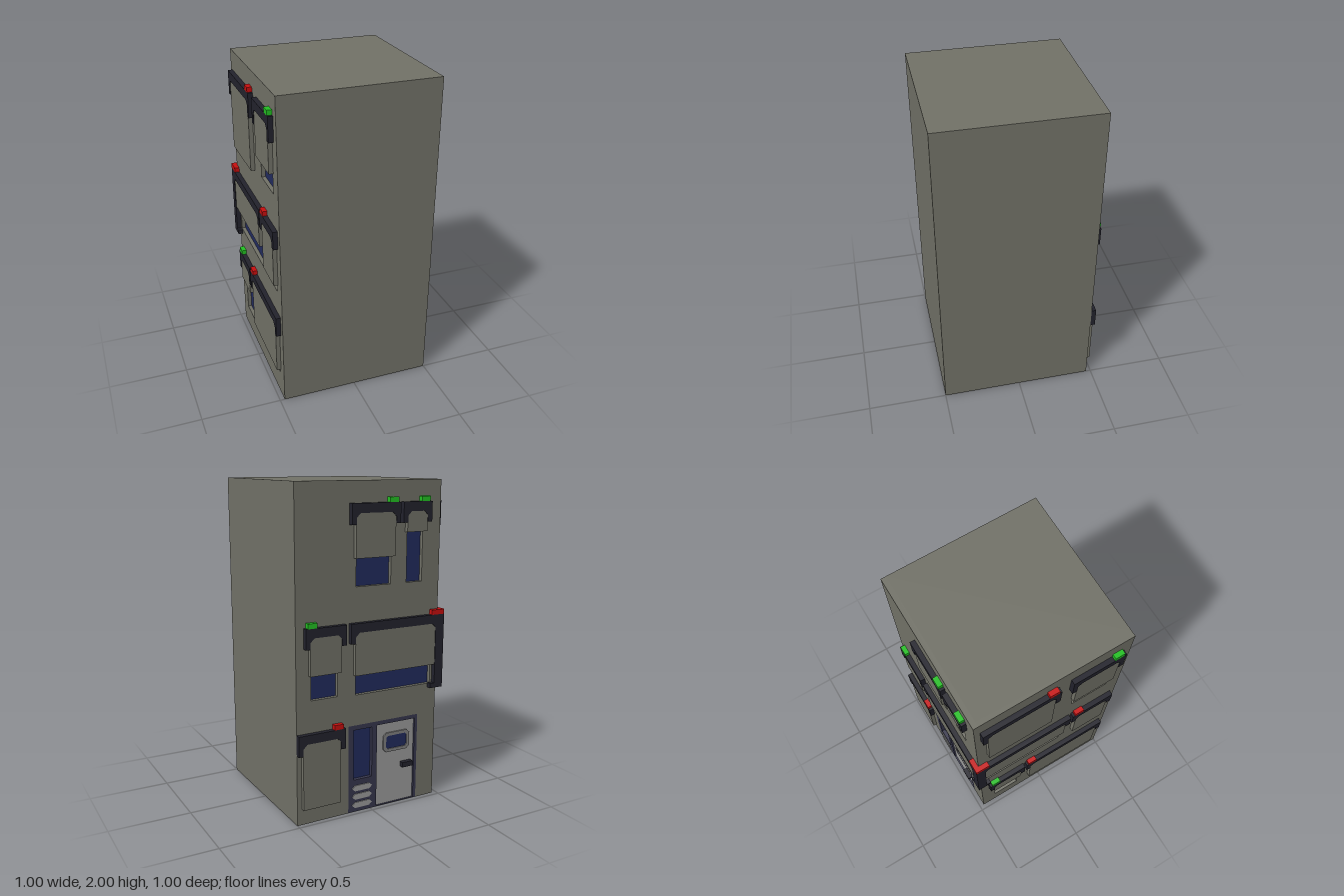
import * as THREE from 'three';

const mat = (name, color) => {
  const m = new THREE.MeshStandardMaterial({ color });
  m.name = name;
  return m;
};

export function createModel() {
  const wall = mat('wall grey', 0x717167);
  const dark = mat('housing black', 0x22222c);
  const glass = mat('glass blue', 0x212b5e);
  const frame = mat('door frame slate', 0x37374e);
  const door = mat('door grey', 0x9c9c9c);
  const trim = mat('trim grey', 0x808080);
  const red = mat('lamp red', 0xc80f0f);
  const green = mat('lamp green', 0x22c022);

  const model = new THREE.Group();
  model.name = 'building';
  const D = 0.03; // depth of recesses and of projecting parts

  const add = (parent, name, geo, material, x = 0, y = 0, z = 0) => {
    const m = new THREE.Mesh(geo, material);
    m.name = name;
    m.position.set(x, y, z);
    parent.add(m);
    return m;
  };
  // Box given by its extents
  const box = (parent, name, material, [x0, x1], [y0, y1], [z0, z1]) =>
    add(parent, name, new THREE.BoxGeometry(x1 - x0, y1 - y0, z1 - z0), material,
      (x0 + x1) / 2, (y0 + y1) / 2, (z0 + z1) / 2);
  const poly = (pts, Type = THREE.Shape) => new Type(pts.map(p => new THREE.Vector2(...p)));
  const rect = ([a, b], [c, d], Type) => poly([[a, c], [b, c], [b, d], [a, d]], Type);
  const extrude = (shape, depth) => new THREE.ExtrudeGeometry(shape, { depth, bevelEnabled: false });
  // Rectangle with cut corners
  const cut = ([a, b], [c, d], k, Type) => poly([[a + k, c], [b - k, c], [b, c + k], [b, d - k],
    [b - k, d], [a + k, d], [a, d - k], [a, c + k]], Type);

  // Solid core
  box(model, 'core', wall, [-0.44, 0.5], [0, 2], [-0.44, 0.5]);

  // Decorated faces: local z points outward, local z = 0 is the wall surface
  const makeFace = (name, sign, rotation, x, z) => {
    const group = new THREE.Group();
    group.name = name;
    group.rotation.y = rotation;
    group.position.set(x, 0, z);
    model.add(group);
    return { group, holes: [], span: ([a, b]) => (sign > 0 ? [a, b] : [-b, -a]) };
  };
  const back = makeFace('backFace', -1, Math.PI, 0, -0.47);
  const side = makeFace('sideFace', 1, -Math.PI / 2, -0.47, 0);

  // One shuttered window: housing, shutter, recessed glass and lamp
  const bay = (face, range, top, leg, shutterEnd, sill, lampStart, lampMat) => {
    const [a, b] = face.span(range);
    const g = new THREE.Group();
    g.name = 'windowBay';
    face.group.add(g);
    const t = 0.03, low = top - leg, inner = top - 0.055, k = 0.025;
    add(g, 'shutterHousing', extrude(poly([
      [a, low], [a + t, low], [a + t, inner - k], [a + t + k, inner],
      [b - t - k, inner], [b - t, inner - k], [b - t, low], [b, low], [b, top], [a, top],
    ]), D), dark);
    box(g, 'shutter', wall, [a + t, b - t], [shutterEnd, top - 0.03], [0, D - 0.004]);
    const w = [a + 0.045, b - 0.045], h = [sill, top - 0.06];
    face.holes.push(rect(w, h, THREE.Path));
    box(g, 'windowGlass', glass, w, h, [-D, -D + 0.006]);
    if (lampMat) {
      box(g, 'lamp', lampMat, face.span([lampStart, lampStart + 0.06]), [top, top + 0.03], [0, D]);
    }
  };

  // Back face, top to bottom
  bay(back, [-0.17, 0.155], 1.875, 0.12, 1.565, 1.40, -0.155, green);
  bay(back, [-0.39, -0.19], 1.875, 0.12, 1.70, 1.40, -0.375, green);
  bay(back, [0.185, 0.45], 1.19, 0.12, 0.91, 0.76, 0.375, green);
  bay(back, [-0.47, 0.155], 1.19, 0.12, 0.875, 0.75);
  bay(back, [0.19, 0.5], 0.565, 0.125, 0.10, 0.115, 0.205, red);

  // Side face, top to bottom
  bay(side, [-0.435, 0.045], 1.875, 0.15, 1.38, 1.40, -0.03, red);
  bay(side, [0.12, 0.45], 1.875, 0.15, 1.53, 1.40, 0.375, green);
  bay(side, [-0.47, 0.165], 1.19, 0.115, 0.92, 0.76);
  bay(side, [0.18, 0.465], 1.19, 0.115, 0.815, 0.76, 0.195, red);
  bay(side, [-0.415, -0.145], 0.6, 0.13, 0.39, 0.15, -0.40, green);
  bay(side, [-0.13, 0.465], 0.6, 0.13, 0.19, 0.155, -0.117, red);

  // Corner post with foot and lamp
  box(model, 'cornerPost', dark, [-0.5, -0.44], [0.755, 1.19], [-0.5, -0.44]);
  box(model, 'cornerFoot', dark, [-0.5, -0.41], [0.725, 0.755], [-0.5, -0.47]);
  box(model, 'cornerFoot', dark, [-0.5, -0.47], [0.725, 0.755], [-0.47, -0.41]);
  box(model, 'cornerLamp', red, [-0.5, -0.41], [1.19, 1.22], [-0.5, -0.47]);
  box(model, 'cornerLamp', red, [-0.5, -0.47], [1.19, 1.22], [-0.47, -0.41]);

  // Entrance, set into the back wall (local x = -world x)
  const entrance = new THREE.Group();
  entrance.name = 'entrance';
  back.group.add(entrance);
  const opening = [[-0.155, 0.34], [0.002, 0.56]];
  back.holes.push(rect(...opening, THREE.Path));
  const surround = rect(...opening);
  surround.holes.push(rect([-0.12, 0.01], [0.21, 0.53], THREE.Path),
    rect([0.045, 0.32], [0.004, 0.535], THREE.Path));
  add(entrance, 'doorFrame', extrude(surround, D), frame, 0, 0, -D);
  box(entrance, 'sidelightGlass', glass, [-0.12, 0.01], [0.21, 0.53], [-D, -D + 0.006]);
  box(entrance, 'doorLeaf', door, [0.045, 0.32], [0.004, 0.535], [-D, -0.012]);
  for (const y of [0.045, 0.10, 0.155]) {
    add(entrance, 'louver', extrude(poly([[-0.13, y], [-0.11, y - 0.018], [-0.01, y - 0.018],
      [0.01, y], [-0.01, y + 0.018], [-0.11, y + 0.018]]), 0.006), door);
  }
  const porthole = cut([0.095, 0.285], [0.345, 0.47], 0.02);
  porthole.holes.push(cut([0.115, 0.265], [0.365, 0.45], 0.012, THREE.Path));
  add(entrance, 'doorWindowFrame', extrude(porthole, 0.009), trim, 0, 0, -0.012);
  add(entrance, 'doorWindowGlass', extrude(cut([0.115, 0.265], [0.365, 0.45], 0.012), 0.003),
    glass, 0, 0, -0.012);
  box(entrance, 'doorHandle', dark, [0.225, 0.30], [0.23, 0.262], [-0.012, 0.018]);

  // Wall skins with the window and door openings
  const skin = (face, range) => {
    const shape = rect(face.span(range), [0, 2]);
    shape.holes.push(...face.holes);
    add(face.group, 'wallSkin', extrude(shape, D), wall, 0, 0, -D);
  };
  skin(back, [-0.47, 0.5]);
  skin(side, [-0.44, 0.5]);

  return model;
}
